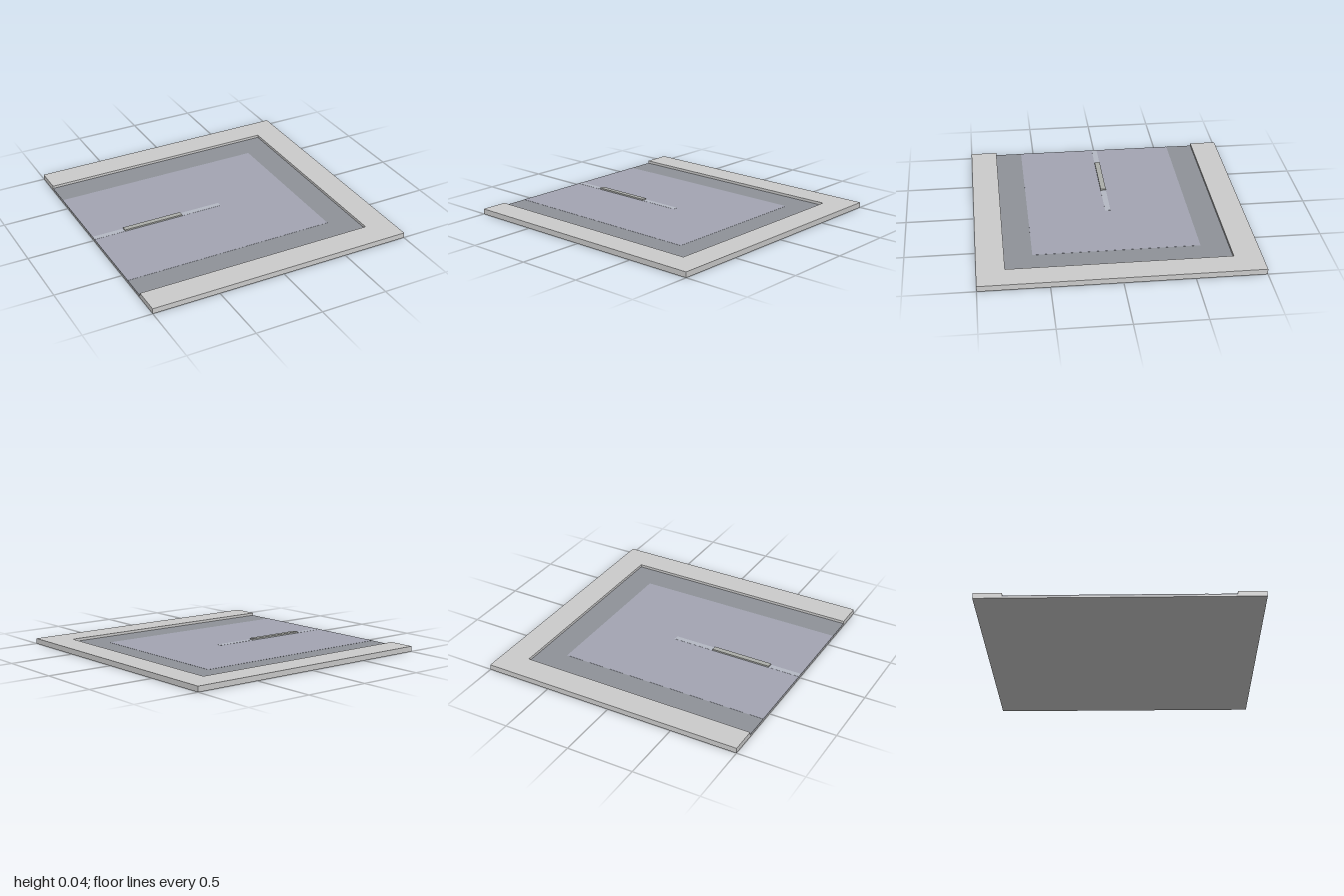
import * as THREE from 'three';

const BASE = 0.01, FLOOR = 0.02, TOP = 0.04;

export function createModel() {
  const group = new THREE.Group();

  // box given by its x, y and z extents
  const slab = (name, color, [x0, x1], [y0, y1], [z0, z1]) => {
    const mesh = new THREE.Mesh(
      new THREE.BoxGeometry(x1 - x0, y1 - y0, z1 - z0),
      new THREE.MeshStandardMaterial({ color })
    );
    mesh.position.set((x0 + x1) / 2, (y0 + y1) / 2, (z0 + z1) / 2);
    mesh.name = name;
    group.add(mesh);
  };

  // raised kerb on three sides, open towards -x
  const outline = [[-1, -1], [1, -1], [1, 1], [-1, 1], [-1, 0.8], [0.8, 0.8], [0.8, -0.8], [-1, -0.8]];
  const shape = new THREE.Shape(outline.map(([x, y]) => new THREE.Vector2(x, y)));
  const rim = new THREE.Mesh(
    new THREE.ExtrudeGeometry(shape, { depth: TOP, bevelEnabled: false }),
    new THREE.MeshStandardMaterial({ color: 0xcccccc })
  );
  rim.rotation.x = -Math.PI / 2;
  rim.name = 'rim';
  group.add(rim);

  // sunken floor inside the kerb
  slab('base', 0xcccccc, [-1, 0.8], [0, BASE], [-0.8, 0.8]);
  slab('floorBorder', 0x8f9299, [-1, 0.8], [BASE, FLOOR], [-0.8, 0.8]);
  slab('floorCentre', 0xa3a5b2, [-1, 0.6], [FLOOR, FLOOR + 0.001], [-0.6, 0.6]);

  // painted centre line with a low raised bar on it
  slab('centreLine', 0xb5b9c4, [-1, 0.02], [FLOOR, FLOOR + 0.002], [-0.02, 0.02]);
  slab('centreBar', 0xacaeaa, [-0.76, -0.3], [FLOOR, FLOOR + 0.012], [-0.02, 0.02]);

  return group;
}
